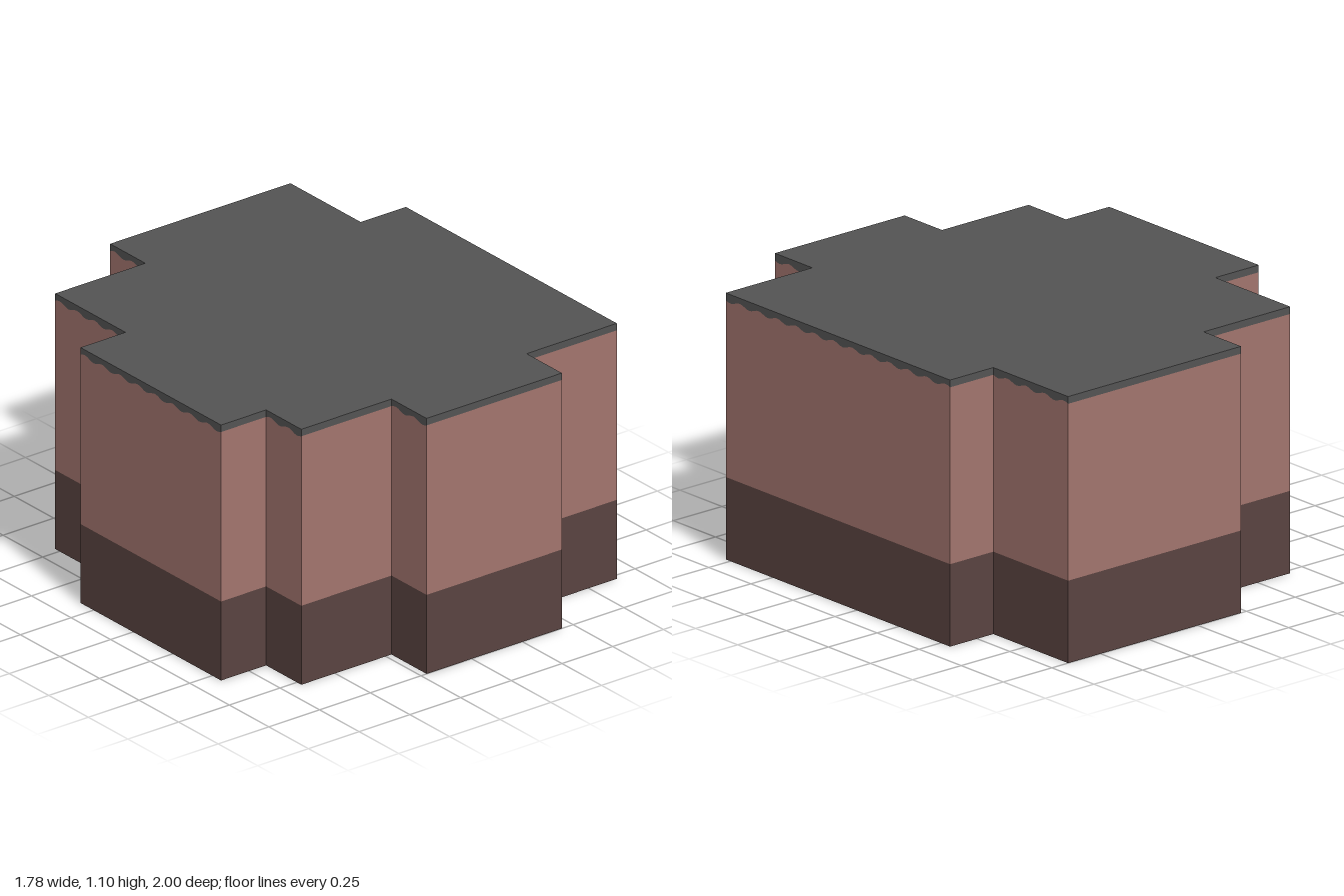
import * as THREE from 'three';

// Footprint corners (x, z) in ninths of a unit, clockwise seen from above
const FOOTPRINT = [
  [-2, -9], [6, -9], [6, -5], [8, -5], [8, 7], [4, 7], [4, 9], [-2, 9],
  [-2, 7], [-6, 7], [-6, 5], [-8, 5], [-8, -3], [-6, -3], [-6, -7], [-2, -7],
].map(([x, z]) => new THREE.Vector2(x / 9, z / 9));

const HEIGHT = 1.1;
const STEP = 1 / 72;

// Seams between the colour bands; the upper one is scalloped on the side walls
const ground = () => 0;
const lowerSeam = () => 0.34;
const upperSeam = (p, sideWall) => 1.07 + (sideWall ? 0.007 * Math.sin(p.y * 18 * Math.PI) : 0);
const rim = () => HEIGHT;

// A strip of wall around the whole footprint between two seams
function wallBand(bottom, top) {
  const positions = [];
  FOOTPRINT.forEach((start, i) => {
    const end = FOOTPRINT[(i + 1) % FOOTPRINT.length];
    const sideWall = start.x === end.x;
    const count = sideWall ? Math.round(start.distanceTo(end) / STEP) : 1;
    for (let k = 0; k < count; k++) {
      const a = start.clone().lerp(end, k / count);
      const b = start.clone().lerp(end, (k + 1) / count);
      const a0 = [a.x, bottom(a, sideWall), a.y], a1 = [a.x, top(a, sideWall), a.y];
      const b0 = [b.x, bottom(b, sideWall), b.y], b1 = [b.x, top(b, sideWall), b.y];
      positions.push(...b0, ...a0, ...a1, ...b0, ...a1, ...b1);
    }
  });
  const geometry = new THREE.BufferGeometry();
  geometry.setAttribute('position', new THREE.Float32BufferAttribute(positions, 3));
  geometry.computeVertexNormals();
  return geometry;
}

// A flat face filling the footprint, facing up (1) or down (-1)
function cap(facing, y) {
  const shape = new THREE.Shape(FOOTPRINT.map((p) => new THREE.Vector2(p.x, -facing * p.y)));
  return new THREE.ShapeGeometry(shape).rotateX(-facing * Math.PI / 2).translate(0, y, 0);
}

export function createModel() {
  const model = new THREE.Group();
  const material = (name, color) => {
    const m = new THREE.MeshStandardMaterial({ color });
    m.name = name;
    return m;
  };
  const darkBrown = material('dark brown', 0x5a4441);
  const dustyPink = material('dusty pink', 0xa3756e);
  const darkGrey = material('dark grey', 0x545454);

  const add = (name, geometry, mat) => {
    const mesh = new THREE.Mesh(geometry, mat);
    mesh.name = name;
    model.add(mesh);
  };

  add('baseWall', wallBand(ground, lowerSeam), darkBrown);
  add('underside', cap(-1, 0), darkBrown);
  add('middleWall', wallBand(lowerSeam, upperSeam), dustyPink);
  add('topRim', wallBand(upperSeam, rim), darkGrey);
  add('topSurface', cap(1, HEIGHT), darkGrey);
  return model;
}
